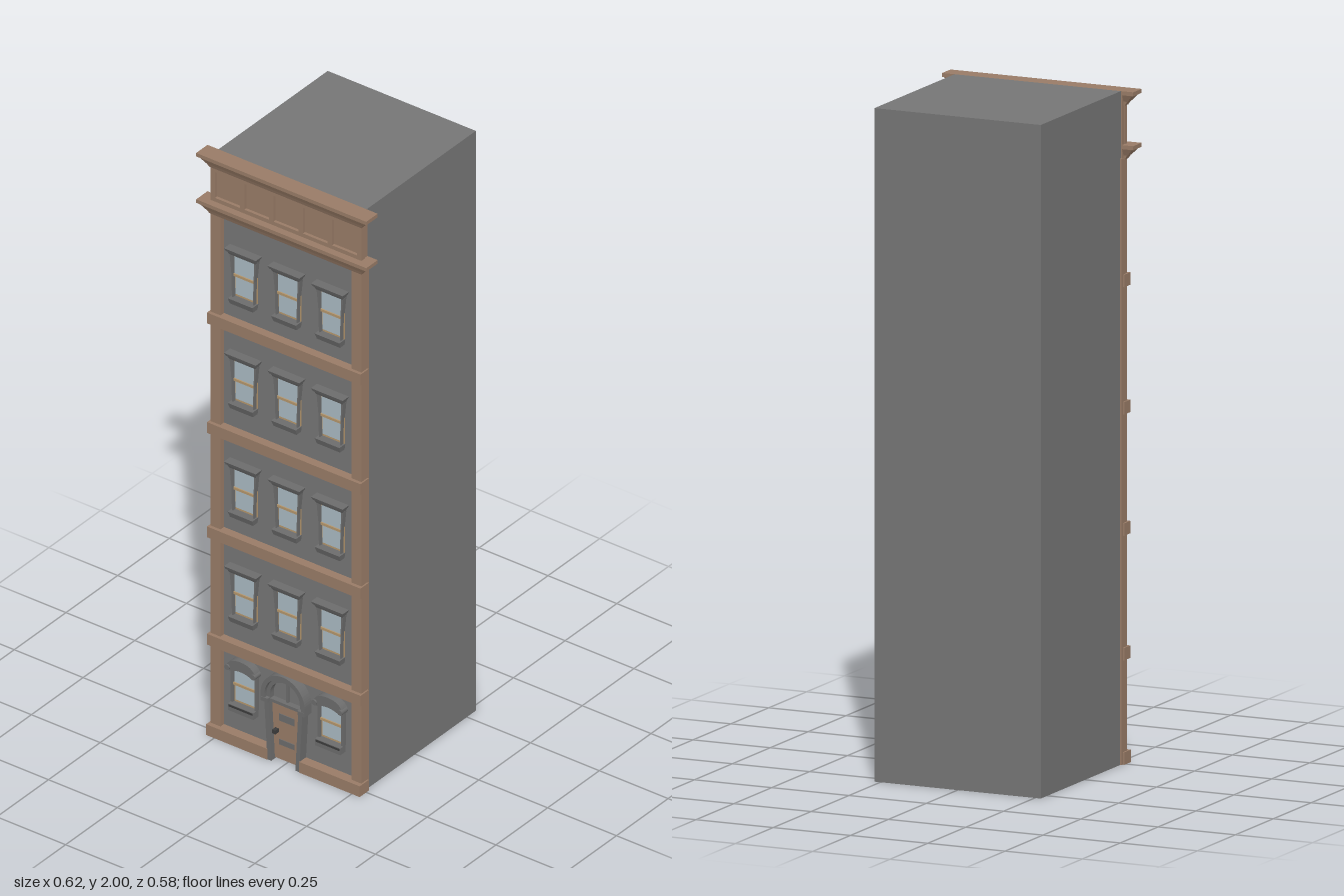
import * as THREE from 'three';

const mat = (name, color, side = THREE.FrontSide) => {
  const m = new THREE.MeshStandardMaterial({ color, side });
  m.name = name;
  return m;
};
const WALL = mat('wall grey', 0x757575, THREE.DoubleSide);
const TRIM = mat('stone trim grey', 0x6c6c6c);
const BROWN = mat('brownstone', 0x987b66);
const TAN = mat('tan sash', 0xb3956c);
const GLASS = mat('window glass', 0xa9b9c1);
const DARK = mat('dark iron', 0x3c3c3c);

function add(parent, name, geometry, material) {
  const m = new THREE.Mesh(geometry, material);
  m.name = name;
  parent.add(m);
  return m;
}

function box(parent, name, material, x0, x1, y0, y1, z0, z1) {
  const m = add(parent, name, new THREE.BoxGeometry(x1 - x0, y1 - y0, z1 - z0), material);
  m.position.set((x0 + x1) / 2, (y0 + y1) / 2, (z0 + z1) / 2);
  return m;
}

// Box between a bottom and a top rectangle, each [y, half width, back z, front z]
function loft(parent, name, material, bottom, top) {
  const g = new THREE.BoxGeometry(1, 1, 1).toNonIndexed();
  const p = g.attributes.position;
  for (let i = 0; i < p.count; i++) {
    const [y, hx, zb, zf] = p.getY(i) > 0 ? top : bottom;
    p.setXYZ(i, Math.sign(p.getX(i)) * hx, y, p.getZ(i) > 0 ? zf : zb);
  }
  g.computeVertexNormals();
  return add(parent, name, g, material);
}

// Flat outline pushed forward from z0 to z1
function plate(parent, name, material, shape, z0, z1) {
  const g = new THREE.ExtrudeGeometry(shape, { depth: z1 - z0, bevelEnabled: false, curveSegments: 16 });
  g.translate(0, 0, z0);
  return add(parent, name, g, material);
}

// Half ring with straight legs of the given drop
function archShape(outer, inner, cy, drop) {
  const s = new THREE.Shape();
  s.moveTo(outer, cy - drop);
  s.lineTo(outer, cy);
  s.absarc(0, cy, outer, 0, Math.PI, false);
  s.lineTo(-outer, cy - drop);
  s.lineTo(-inner, cy - drop);
  s.lineTo(-inner, cy);
  s.absarc(0, cy, inner, Math.PI, 0, true);
  s.lineTo(inner, cy - drop);
  return s;
}

// Two-sash glazing between y0 and y1
function sashes(w, y0, y1) {
  const mid = (y0 + y1) / 2;
  box(w, 'sashFrame', TAN, -0.043, 0.043, y0, y1, 0.25, 0.253);
  box(w, 'lowerGlass', GLASS, -0.035, 0.035, y0 + 0.007, mid - 0.004, 0.253, 0.2545);
  box(w, 'upperGlass', GLASS, -0.037, 0.037, mid + 0.004, y1 - 0.006, 0.253, 0.256);
  box(w, 'meetingRail', TAN, -0.04, 0.04, mid - 0.004, mid + 0.004, 0.253, 0.26);
}

function upperWindow(x, y) {
  const w = new THREE.Group();
  w.name = 'upperWindow';
  sashes(w, 0.02, 0.168);
  loft(w, 'sill', TRIM, [0, 0.042, 0.25, 0.272], [0.02, 0.045, 0.25, 0.279]);
  loft(w, 'lintel', TRIM, [0.166, 0.048, 0.25, 0.268], [0.178, 0.052, 0.25, 0.274]);
  loft(w, 'lintelCap', TRIM, [0.178, 0.054, 0.25, 0.276], [0.188, 0.058, 0.25, 0.28]);
  for (const s of [-1, 1]) {
    // jamb that flares into a bracket under the lintel
    const j = new THREE.Shape();
    j.moveTo(s * 0.036, 0.02);
    j.lineTo(s * 0.04, 0.02);
    j.lineTo(s * 0.042, 0.1);
    j.lineTo(s * 0.049, 0.168);
    j.lineTo(s * 0.041, 0.168);
    j.closePath();
    plate(w, 'jamb', TRIM, j, 0.25, 0.265);
  }
  w.position.set(x, y, 0);
  return w;
}

function groundWindow(x) {
  const w = new THREE.Group();
  w.name = 'groundWindow';
  sashes(w, 0.135, 0.262);
  box(w, 'sill', TRIM, -0.046, 0.046, 0.112, 0.135, 0.25, 0.276);
  box(w, 'sillShadowStrip', DARK, -0.043, 0.043, 0.126, 0.133, 0.27, 0.277);
  // shallow curved hood with round end bosses
  const h = new THREE.Shape();
  h.moveTo(-0.052, 0.25);
  h.lineTo(-0.04, 0.25);
  h.quadraticCurveTo(0, 0.268, 0.04, 0.25);
  h.lineTo(0.052, 0.25);
  h.lineTo(0.052, 0.266);
  h.quadraticCurveTo(0.04, 0.293, 0, 0.293);
  h.quadraticCurveTo(-0.04, 0.293, -0.052, 0.266);
  plate(w, 'hood', TRIM, h, 0.25, 0.276);
  for (const s of [-1, 1]) {
    const b = add(w, 'hoodBoss', new THREE.CylinderGeometry(0.009, 0.009, 0.03, 12), TRIM);
    b.rotation.x = Math.PI / 2;
    b.position.set(s * 0.047, 0.261, 0.266);
    box(w, 'jamb', TRIM, s * 0.043 - 0.004, s * 0.043 + 0.004, 0.135, 0.255, 0.25, 0.262);
  }
  w.position.x = x;
  return w;
}

function entrance() {
  const d = new THREE.Group();
  d.name = 'entrance';
  loft(d, 'door', BROWN, [0.005, 0.044, 0.25, 0.262], [0.2, 0.054, 0.25, 0.262]);
  box(d, 'upperDoorPanel', TRIM, -0.028, 0.028, 0.138, 0.162, 0.262, 0.2645);
  box(d, 'lowerDoorPanel', TRIM, -0.028, 0.028, 0.056, 0.074, 0.262, 0.2645);
  box(d, 'doorHandle', DARK, -0.042, -0.03, 0.095, 0.108, 0.262, 0.278);
  for (const s of [-1, 1]) {
    const j = new THREE.Shape();
    j.moveTo(s * 0.044, 0);
    j.lineTo(s * 0.058, 0);
    j.lineTo(s * 0.069, 0.2);
    j.lineTo(s * 0.054, 0.2);
    j.closePath();
    plate(d, 'doorJamb', TRIM, j, 0.25, 0.28);
    box(d, 'archImpost', TRIM, s * 0.067 - 0.013, s * 0.067 + 0.013, 0.198, 0.212, 0.25, 0.284);
  }
  box(d, 'transom', TRIM, -0.056, 0.056, 0.198, 0.208, 0.25, 0.272);
  // fanlight above the door
  const fan = new THREE.Shape();
  fan.absarc(0, 0.222, 0.056, 0, Math.PI, false);
  fan.lineTo(-0.056, 0.205);
  fan.lineTo(0.056, 0.205);
  plate(d, 'fanlight', WALL, fan, 0.25, 0.254);
  box(d, 'fanlightMullion', TRIM, -0.004, 0.004, 0.205, 0.28, 0.254, 0.262);
  plate(d, 'outerArch', TRIM, archShape(0.08, 0.066, 0.226, 0.018), 0.25, 0.283);
  plate(d, 'innerArch', TRIM, archShape(0.066, 0.054, 0.224, 0.016), 0.25, 0.272);
  return d;
}

// Moulding that flares to front, back and both ends
function cornice(y) {
  const c = new THREE.Group();
  c.name = 'cornice';
  loft(c, 'corniceFoot', BROWN, [0, 0.276, 0.248, 0.27], [0.012, 0.283, 0.247, 0.275]);
  loft(c, 'corniceFlare', BROWN, [0.012, 0.285, 0.247, 0.275], [0.033, 0.304, 0.237, 0.286]);
  loft(c, 'corniceLip', BROWN, [0.033, 0.309, 0.235, 0.29], [0.045, 0.309, 0.235, 0.29]);
  c.position.y = y;
  return c;
}

export function createModel() {
  const g = new THREE.Group();
  g.name = 'townhouse';

  // Open shell: sides, roof and back, without floor or front
  const shell = new THREE.BoxGeometry(0.538, 2, 0.528);
  const idx = Array.from(shell.index.array);
  shell.clearGroups();
  shell.setIndex([...idx.slice(0, 18), ...idx.slice(30)]);
  add(g, 'bodyShell', shell, WALL).position.set(0, 1, -0.029);
  box(g, 'frontWall', WALL, -0.24, 0.24, 0, 1.8, 0.235, 0.25);

  // Corner piers and floor bands
  for (const s of [-1, 1]) {
    box(g, 'cornerPier', BROWN, s * 0.256 - 0.018, s * 0.256 + 0.018, 0, 1.8, 0.23, 0.267);
  }
  for (const y of [0.31, 0.68, 1.04, 1.418]) {
    box(g, 'floorBand', BROWN, -0.279, 0.279, y, y + 0.037, 0.238, 0.278);
  }
  for (const s of [-1, 1]) {
    box(g, 'baseBand', BROWN, s > 0 ? 0.058 : -0.279, s > 0 ? 0.279 : -0.058, 0, 0.037, 0.238, 0.282);
  }

  // Windows and door
  for (const x of [-0.158, 0, 0.158]) {
    for (const y of [0.417, 0.778, 1.153, 1.514]) g.add(upperWindow(x, y));
    if (x) g.add(groundWindow(x));
  }
  g.add(entrance());

  // Panelled frieze between two cornices
  box(g, 'friezePanel', BROWN, -0.272, 0.272, 1.8, 1.99, 0.236, 0.257);
  box(g, 'friezeRail', BROWN, -0.274, 0.274, 1.84, 1.853, 0.25, 0.267);
  box(g, 'friezeRail', BROWN, -0.274, 0.274, 1.942, 1.957, 0.25, 0.267);
  for (let i = 0; i < 6; i++) {
    const x = -0.266 + i * 0.1064;
    box(g, 'friezeStile', BROWN, x - 0.008, x + 0.008, 1.853, 1.942, 0.25, 0.267);
  }
  g.add(cornice(1.795), cornice(1.955));
  return g;
}
